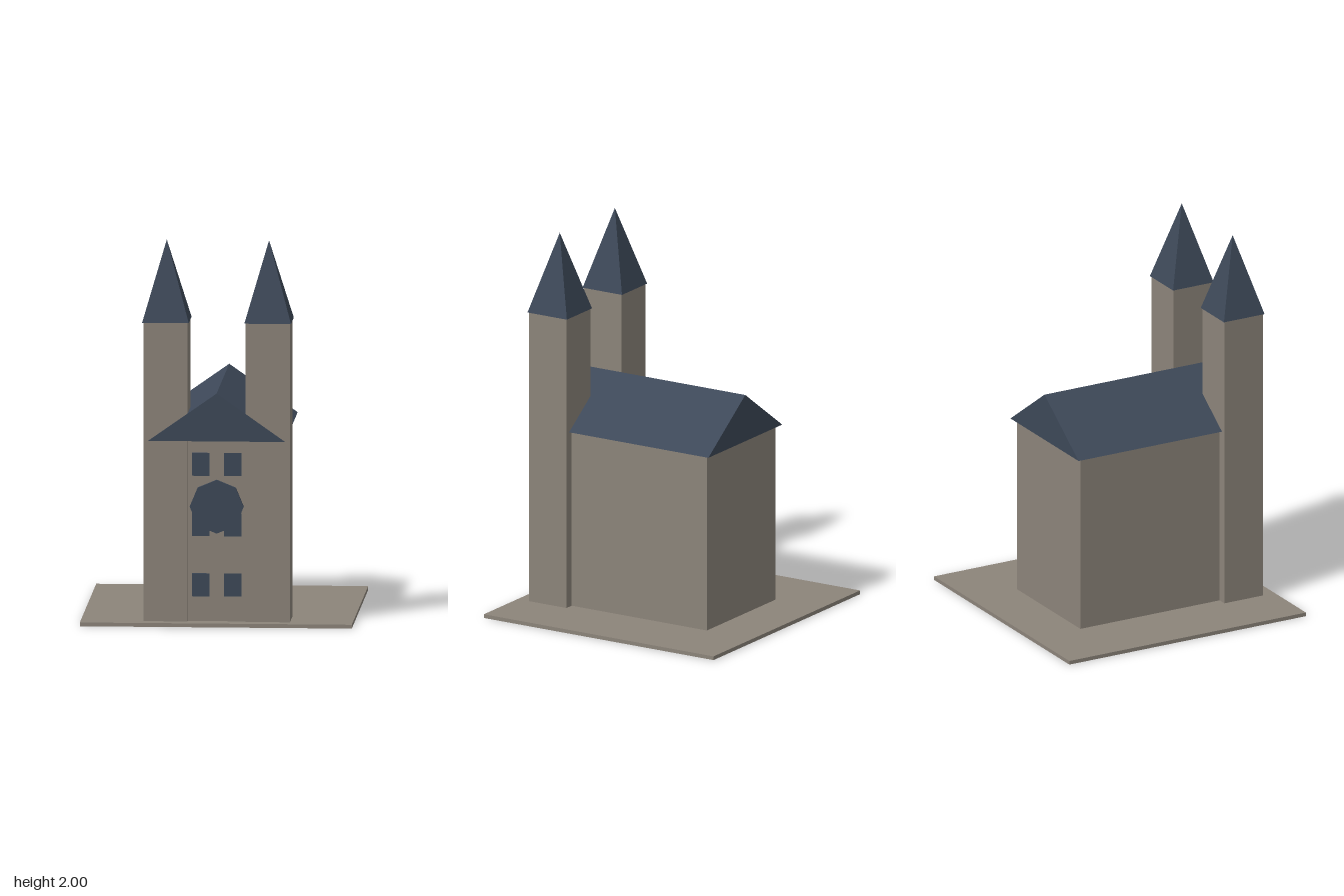
import * as THREE from 'three';

export function createModel() {
  const model = new THREE.Group();
  model.name = 'church';
  const stone = new THREE.MeshStandardMaterial({ name: 'stone', color: 0x8c847a });
  const slate = new THREE.MeshStandardMaterial({ name: 'slate', color: 0x3d4858 });

  const add = (name, geometry, material, x, y, z) => {
    const mesh = new THREE.Mesh(geometry, material);
    mesh.name = name;
    mesh.position.set(x, y, z);
    model.add(mesh);
    return mesh;
  };
  // Box standing on height y
  const block = (name, w, h, d, material, x, y, z) =>
    add(name, new THREE.BoxGeometry(w, h, d), material, x, y + h / 2, z);

  // Ground slab and nave
  block('base', 1.41, 0.02, 1.41, stone, 0, 0, 0);
  block('nave', 0.66, 0.945, 1.04, stone, 0, 0.02, 0.095);

  // Gabled roof, a closed prism overhanging the nave
  const gable = new THREE.Shape([
    new THREE.Vector2(-0.355, 0),
    new THREE.Vector2(0.355, 0),
    new THREE.Vector2(0, 0.25),
  ]);
  const roof = new THREE.ExtrudeGeometry(gable, { depth: 1.09, bevelEnabled: false });
  add('roof', roof, slate, 0, 0.963, -0.45);

  // Twin towers with pyramid spires
  const spireHalf = 0.121;
  const spire = new THREE.ConeGeometry(spireHalf * Math.SQRT2, 0.42, 4).toNonIndexed();
  spire.rotateY(Math.PI / 4);
  spire.computeVertexNormals();
  for (const side of [-1, 1]) {
    const label = side > 0 ? 'left' : 'right';
    block(label + 'Tower', 0.23, 1.56, 0.23, stone, side * 0.265, 0.02, 0.52);
    add(label + 'Spire', spire, slate, side * 0.265, 1.79, 0.52);
  }

  // Three rows of paired windows on the front
  for (const y of [0.15, 0.465, 0.78]) {
    for (const side of [-1, 1]) {
      block('window', 0.09, 0.12, 0.008, slate, side * 0.0825, y, 0.617);
    }
  }

  // Octagonal rose window
  const rose = new THREE.CylinderGeometry(0.14, 0.14, 0.02, 8).toNonIndexed();
  rose.rotateX(Math.PI / 2);
  rose.computeVertexNormals();
  add('roseWindow', rose, slate, 0, 0.62, 0.622);

  return model;
}
